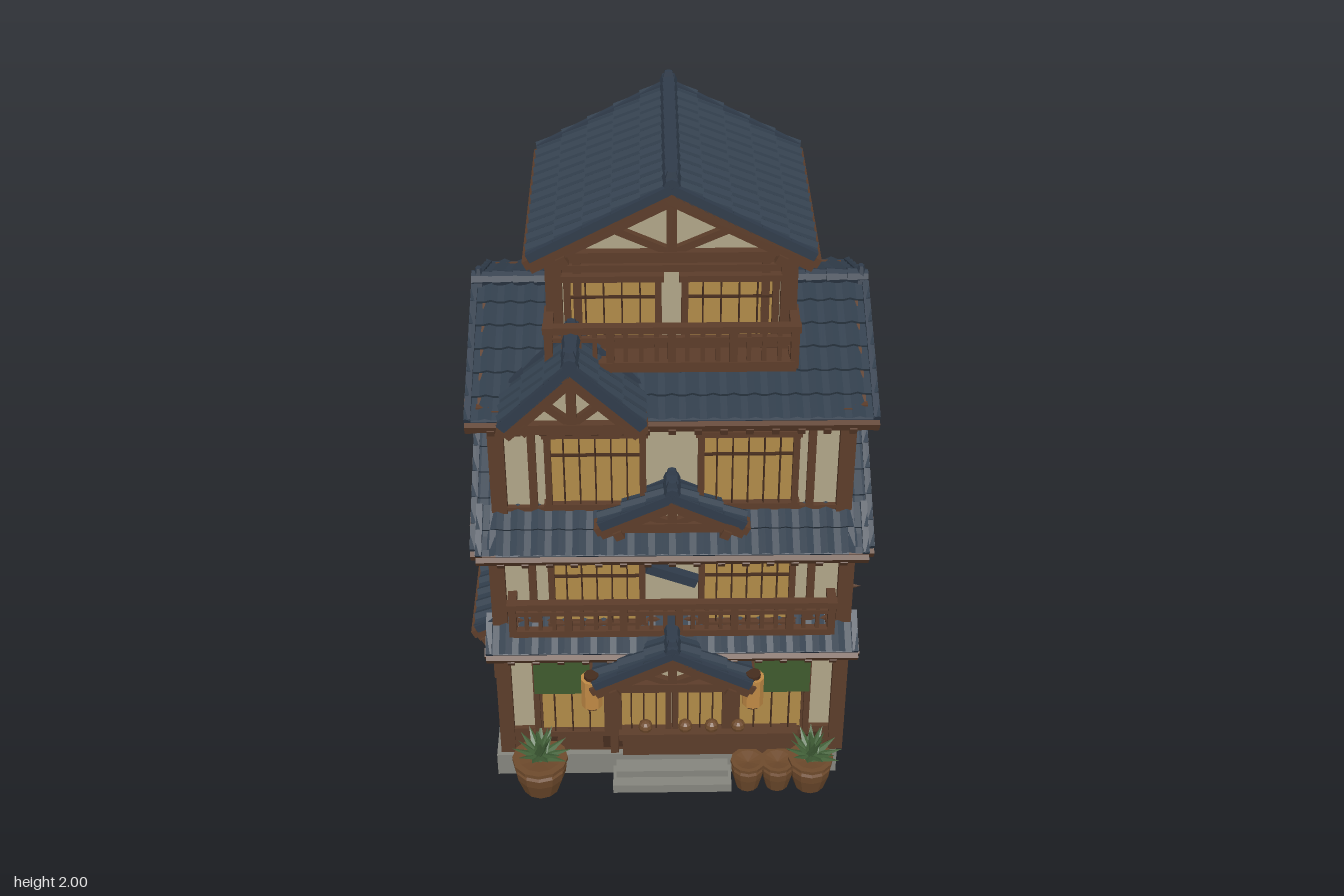
import * as THREE from 'three';

const mat = (color, side = THREE.FrontSide) => new THREE.MeshStandardMaterial({ color, side, flatShading: true });
const WOOD = mat(0x5c3d2a), DARK = mat(0x452c1e), CREAM = mat(0xb0a588), PAPER = mat(0xb08a48), STONE = mat(0x85857e),
  TILE = mat(0x323f4d, THREE.DoubleSide), CAP = mat(0x303c4b), GREEN = mat(0x3f5a2e), BLUE = mat(0x243a60),
  CLAY = mat(0x6e4a2c), LEAF = mat(0x44633a, THREE.DoubleSide), LAMP = mat(0xc08a45);

function add(parent, name, geo, m, x = 0, y = 0, z = 0) {
  const o = new THREE.Mesh(geo, m);
  o.name = name;
  o.position.set(x, y, z);
  parent.add(o);
  return o;
}
const box = (p, name, m, w, h, d, x, y, z) => add(p, name, new THREE.BoxGeometry(w, h, d), m, x, y, z);
function group(parent, name, x = 0, y = 0, z = 0, ry = 0) {
  const g = new THREE.Group();
  g.name = name;
  g.position.set(x, y, z);
  g.rotation.y = ry;
  parent.add(g);
  return g;
}
// beam between two points of the local xy plane
function beam(p, name, m, x0, y0, x1, y1, t, d, z) {
  const o = box(p, name, m, Math.hypot(x1 - x0, y1 - y0), t, d, (x0 + x1) / 2, (y0 + y1) / 2, z);
  o.rotation.z = Math.atan2(y1 - y0, x1 - x0);
}

// stepped, rolled tiles: runs down +x, spreads along z
function tileSheet(width, len) {
  const cols = Math.max(1, Math.round(width / 0.056)), rows = Math.max(1, Math.round(len / 0.085));
  const nx = cols * 6, g = new THREE.PlaneGeometry(width, len, nx, rows * 2 - 1), p = g.attributes.position;
  for (let i = 0; i < p.count; i++) {
    const j = Math.floor(i / (nx + 1)), k = i % (nx + 1), low = j % 2;
    const roll = Math.max(0, Math.cos((k / 6) * Math.PI * 2)) * 0.008;
    p.setY(i, len / 2 - (len * (Math.floor(j / 2) + low)) / rows);
    p.setZ(i, roll + (low ? 0.011 : 0.002));
  }
  g.rotateX(-Math.PI / 2).rotateY(Math.PI / 2).translate(len / 2, 0, 0);
  g.computeVertexNormals();
  return g;
}

// one roof plane falling along +x from its top edge
function slope(parent, name, run, drop, length, x, y, z, ry) {
  const g = group(group(parent, name, x, y, z, ry), 'roofPlane'), L = Math.hypot(run, drop);
  g.rotation.z = -Math.atan2(drop, run);
  add(g, 'tiles', tileSheet(length, L - 0.008), TILE);
  box(g, 'roofBoard', CAP, L - 0.01, 0.014, length, L / 2 - 0.005, -0.007, 0);
  box(g, 'eaveBoard', WOOD, 0.016, 0.026, length, L, -0.013, 0);
  box(g, 'purlin', WOOD, 0.026, 0.026, length + 0.015, L * 0.8, -0.046, 0);
  for (const s of [-1, 1]) {
    box(g, 'bargeBoard', WOOD, L, 0.03, 0.014, L / 2, -0.026, s * (length / 2 - 0.007));
    box(g, 'vergeTile', CAP, L - 0.01, 0.024, 0.018, L / 2 - 0.005, 0.002, s * (length / 2 - 0.008));
  }
  const n = Math.round(length / 0.07), rl = Math.min(L, 0.13);
  for (let i = 1; i < n; i++) box(g, 'rafter', WOOD, rl, 0.022, 0.02, L - rl / 2 + 0.012, -0.026, (i / n - 0.5) * length);
}
// gable roof with its ridge along local z
function gable(parent, name, run, drop, length, x, y, z, ry = 0) {
  const g = group(parent, name, x, y, z, ry);
  slope(g, 'roofSideA', run, drop, length, 0, 0, 0, 0);
  slope(g, 'roofSideB', run, drop, length, 0, 0, 0, Math.PI);
  const n = Math.max(1, Math.round(length / 0.06));
  for (let i = 0; i < n; i++)
    add(g, 'ridgeTile', new THREE.CylinderGeometry(0.02, 0.025, length / n, 8).rotateX(Math.PI / 2), CAP, 0, 0.01, ((i + 0.5) / n - 0.5) * length);
  for (const s of [-1, 1]) {
    const k = add(g, 'ridgeEnd', new THREE.CylinderGeometry(0.012, 0.028, 0.05, 6), CAP, 0, 0.02, s * (length / 2 - 0.02));
    k.scale.z = 0.7;
  }
}
// plaster triangle with open truss, facing local +z
function gableEnd(parent, half, rise, x, y, z, ry = 0, m = CREAM) {
  const g = group(parent, 'gableEnd', x, y, z, ry);
  const s = new THREE.Shape([new THREE.Vector2(-half, 0), new THREE.Vector2(half, 0), new THREE.Vector2(0, rise)]);
  add(g, 'gablePanel', new THREE.ExtrudeGeometry(s, { depth: 0.02, bevelEnabled: false }), m, 0, 0, -0.02);
  box(g, 'tieBeam', WOOD, half * 2 + 0.03, 0.03, 0.034, 0, 0, 0.008);
  box(g, 'kingPost', WOOD, 0.026, rise, 0.028, 0, rise / 2, 0.008);
  for (const k of [-1, 1]) {
    beam(g, 'topChord', WOOD, k * half, 0, 0, rise, 0.026, 0.028, 0.008);
    beam(g, 'strut', WOOD, 0, 0.01, k * half * 0.5, rise * 0.5, 0.02, 0.024, 0.008);
  }
}

// latticed window on a wall face
function win(p, x, y0, y1, w, bars = 5) {
  const h = y1 - y0, y = (y0 + y1) / 2, g = group(p, 'window', x, y, 0);
  box(g, 'paperPane', PAPER, w, h, 0.012, 0, 0, 0.004);
  for (const s of [-1, 1]) {
    box(g, 'windowRail', WOOD, w + 0.03, 0.018, 0.036, 0, (s * h) / 2, 0.012);
    box(g, 'windowStile', WOOD, 0.018, h, 0.036, (s * w) / 2, 0, 0.012);
  }
  for (let i = 1; i < bars; i++) box(g, 'latticeBar', DARK, 0.004, h, 0.018, (i / bars - 0.5) * w, 0, 0.017);
  box(g, 'latticeCross', DARK, w, 0.004, 0.012, 0, h * 0.2, 0.015);
}
function railing(p, w, h, x, y, z, ry = 0) {
  const g = group(p, 'railing', x, y, z, ry), n = Math.round(w / 0.04);
  box(g, 'handRail', WOOD, w + 0.03, 0.02, 0.026, 0, h, 0);
  box(g, 'midRail', WOOD, w, 0.014, 0.016, 0, h * 0.74, 0);
  box(g, 'footRail', WOOD, w, 0.022, 0.024, 0, 0.01, 0);
  for (let i = 0; i <= n; i++) {
    const t = i % 4 === 0 || i === n ? 0.022 : 0.012;
    box(g, 'baluster', WOOD, t, h, t, (i / n - 0.5) * w, h / 2, 0);
  }
}
// storey: wall block, posts and beams; returns a group for each face
function storey(parent, name, hx, z0, z1, y0, y1, plinth) {
  const g = group(parent, name), zc = (z0 + z1) / 2, hz = (z1 - z0) / 2, h = y1 - y0, yc = (y0 + y1) / 2;
  box(g, 'plaster', CREAM, hx * 2, h, hz * 2, 0, yc, zc);
  const spec = { front: [0, z1, 0, hx], left: [hx, zc, Math.PI / 2, hz], back: [0, z0, Math.PI, hx], right: [-hx, zc, -Math.PI / 2, hz] };
  const faces = {};
  for (const [side, [x, z, ry, half]] of Object.entries(spec)) {
    const f = (faces[side] = group(g, side + 'Face', x, 0, z, ry));
    box(f, 'topBeam', WOOD, half * 2 + 0.08, 0.036, 0.044, 0, y1 - 0.02, 0);
    box(f, 'headBeam', WOOD, half * 2, 0.02, 0.034, 0, y1 - 0.075, 0);
    box(f, 'plinthBoards', WOOD, half * 2 + 0.01, plinth, 0.03, 0, y0 + plinth / 2, 0);
    for (let i = 0; i < 5; i++) box(f, 'plinthPatch', DARK, 0.06, plinth * 0.6, 0.036, (i - 2) * half * 0.4 + 0.02, y0 + plinth * 0.45, 0);
    for (const s of [-1, 1]) {
      box(f, 'cornerPost', WOOD, 0.044, h, 0.044, s * half, yc, 0);
      box(f, 'wallPost', WOOD, 0.022, h, 0.03, s * half * 0.8, yc, 0);
    }
  }
  return faces;
}
function plant(parent, x, z, r, h, leaves) {
  const g = group(parent, 'pottedPlant', x, 0, z);
  const pts = [[0, 0], [r * 0.7, 0], [r * 0.95, h * 0.5], [r, h * 0.75], [r * 0.9, h * 0.85], [r * 1.05, h * 0.9], [r * 1.05, h], [r * 0.8, h], [0, h * 0.9]];
  add(g, 'pot', new THREE.LatheGeometry(pts.map(([a, b]) => new THREE.Vector2(a, b)), 12), CLAY);
  for (let i = 0; i < leaves; i++) {
    const leaf = add(g, 'leaf', new THREE.ConeGeometry(0.024, 0.1, 4).scale(1, 1, 0.3).translate(0, 0.05, 0), LEAF, 0, h, 0);
    leaf.rotation.set(0.1 + (i % 5) * 0.3, i * 2.4, 0, 'YXZ');
  }
}

export function createModel() {
  const house = new THREE.Group();
  house.name = 'townhouse';
  const ZC = -0.025, Q = Math.PI / 2;

  // stone base and steps
  box(house, 'stoneBase', STONE, 1.04, 0.08, 0.815, -0.015, 0.04, -0.018);
  box(house, 'upperStep', STONE, 0.34, 0.055, 0.06, 0, 0.0275, 0.41);
  box(house, 'lowerStep', STONE, 0.36, 0.03, 0.09, 0, 0.015, 0.43);

  // ground floor
  const f1 = storey(house, 'groundFloor', 0.5, -0.41, 0.355, 0.08, 0.56, 0.09);
  for (const x of [-0.3, -0.085, 0.085, 0.3]) win(f1.front, x, 0.16, 0.47, Math.abs(x) > 0.2 ? 0.21 : 0.15, 4);
  for (const s of [-1, 1]) {
    win(f1.back, s * 0.22, 0.18, 0.45, 0.3, 6);
    for (const side of ['left', 'right']) win(f1[side], s * 0.15, 0.18, 0.42, 0.27, 6);
    box(house, 'greenCurtain', GREEN, 0.22, 0.14, 0.012, s * 0.3, 0.4, 0.385);
    box(house, 'doorPost', WOOD, 0.024, 0.4, 0.03, s * 0.175, 0.28, 0.37);
    add(house, 'lantern', new THREE.CylinderGeometry(0.032, 0.032, 0.1, 10), LAMP, s * 0.235, 0.42, 0.475);
    for (const k of [-1, 1]) add(house, 'lanternCap', new THREE.CylinderGeometry(0.022, 0.022, 0.014, 10), DARK, s * 0.235, 0.42 + k * 0.055, 0.475);
  }
  box(house, 'blueCurtain', BLUE, 0.35, 0.1, 0.012, 0, 0.4, 0.395);
  box(house, 'bench', WOOD, 0.54, 0.025, 0.05, 0.11, 0.165, 0.385);
  box(house, 'benchFront', WOOD, 0.52, 0.08, 0.03, 0.11, 0.12, 0.38);
  for (const x of [-0.08, 0.04, 0.12, 0.2]) add(house, 'bowl', new THREE.SphereGeometry(0.022, 10, 6), CLAY, x, 0.195, 0.39);

  // first roof tier and porch
  slope(house, 'frontSkirtRoof', 0.11, 0.075, 1.08, 0, 0.595, 0.335, -Q);
  slope(house, 'backSkirtRoof', 0.12, 0.075, 1.08, 0, 0.595, -0.39, Q);
  slope(house, 'rightSkirtRoof', 0.095, 0.045, 0.78, -0.485, 0.6, ZC, Math.PI);
  gable(house, 'porchRoof', 0.235, 0.12, 0.18, 0, 0.58, 0.425);
  gableEnd(house, 0.2, 0.105, 0, 0.455, 0.485);
  for (const s of [-1, 1]) box(house, 'porchBracket', WOOD, 0.022, 0.025, 0.15, s * 0.2, 0.46, 0.42);

  // second floor with balconies
  const f2 = storey(house, 'secondFloor', 0.5, -0.4, 0.345, 0.55, 0.93, 0.04);
  for (const s of [-1, 1]) {
    for (const side of ['front', 'back']) win(f2[side], s * 0.215, 0.58, 0.83, 0.26, 6);
    for (const side of ['left', 'right']) win(f2[side], s * 0.15, 0.59, 0.83, 0.27, 6);
  }
  // side walls of both lower floors: boarded ends, lintels and a projecting grille
  for (const side of ['left', 'right']) {
    const g = group(f2[side], 'windowGrille', 0, 0.63, 0.035);
    for (let i = 0; i <= 6; i++) box(g, 'grilleBar', WOOD, 0.01, 0.24, 0.012, (i / 6 - 0.5) * 0.26, 0.12, 0);
    for (const y of [0, 0.12, 0.24]) box(g, 'grilleRail', WOOD, 0.3, 0.012, 0.014, 0, y, 0);
    box(f1[side], 'sideLintel', WOOD, 0.78, 0.12, 0.036, 0, 0.5, 0);
    box(f2[side], 'sideLintel', WOOD, 0.78, 0.09, 0.036, 0, 0.885, 0);
    for (const s of [-1, 1])
      for (const [f, y] of [[f1, 0.3], [f2, 0.7]]) box(f[side], 'boardedEnd', WOOD, 0.08, 0.3, 0.014, s * 0.34, y, 0);
  }
  for (const [side, z] of [['front', 0.03], ['back', 0.03]]) beam(f2[side], 'leaningBoard', CAP, -0.07, 0.8, 0.07, 0.745, 0.03, 0.03, z);
  railing(house, 0.92, 0.11, 0, 0.57, 0.4);
  railing(house, 0.92, 0.12, 0, 0.57, -0.5);
  for (const s of [-1, 1]) {
    railing(house, 0.06, 0.11, s * 0.46, 0.57, 0.37, Q);
    railing(house, 0.1, 0.12, s * 0.46, 0.57, -0.45, Q);
  }
  box(house, 'backBalconyDeck', WOOD, 0.96, 0.018, 0.11, 0, 0.57, -0.455);

  // second roof tier: skirts, side gables and a small front gable
  slope(house, 'frontMiddleRoof', 0.135, 0.09, 1.09, 0, 0.995, 0.34, -Q);
  slope(house, 'backMiddleRoof', 0.125, 0.09, 1.09, 0, 0.995, -0.395, Q);
  for (const s of [-1, 1]) {
    gable(house, 'sideGableRoof', 0.48, 0.29, 0.07, s * 0.525, 1.205, ZC + 0.005, Q);
    gable(house, 'lowerSideGableRoof', 0.43, 0.18, 0.05, s * 0.525, 1.085, ZC, Q);
    gableEnd(house, 0.39, 0.17, s * 0.515, 0.9, ZC, s * Q, WOOD);
  }
  gable(house, 'smallFrontRoof', 0.21, 0.1, 0.1, 0, 1.08, 0.385);
  gableEnd(house, 0.17, 0.085, 0, 0.98, 0.41);

  // third floor
  const f3 = storey(house, 'thirdFloor', 0.48, -0.4, 0.345, 0.94, 1.34, 0.06);
  for (const s of [-1, 1]) {
    for (const side of ['front', 'back']) win(f3[side], s * 0.21, 1.01, 1.25, 0.26, 6);
    for (const side of ['left', 'right']) win(f3[side], s * 0.145, 1.0, 1.25, 0.24, 5);
    gableEnd(house, 0.385, 0.165, s * 0.5, 1.33, ZC, s * Q);
  }

  // main roof and its off-centre dormer
  gable(house, 'mainRoof', 0.44, 0.19, 1.11, 0, 1.505, ZC, Q);
  gable(house, 'dormerRoof', 0.195, 0.19, 0.2, -0.265, 1.53, 0.385);
  gableEnd(house, 0.165, 0.16, -0.265, 1.345, 0.46);
  for (const s of [-1, 1]) box(house, 'dormerBracket', WOOD, 0.02, 0.025, 0.16, -0.265 + s * 0.16, 1.34, 0.39);

  // top floor with balcony
  const f4 = storey(house, 'topFloor', 0.31, -0.3, 0.25, 1.4, 1.78, 0.08);
  for (const s of [-1, 1]) {
    for (const side of ['front', 'back']) win(f4[side], s * 0.155, 1.48, 1.68, 0.24, 5);
  }
  for (const side of ['left', 'right']) {
    win(f4[side], 0, 1.53, 1.74, 0.26, 5);
    box(f4[side], 'sillBoards', WOOD, 0.56, 0.11, 0.03, 0, 1.475, 0);
  }
  box(house, 'balconyDeck', WOOD, 0.66, 0.02, 0.11, 0, 1.45, 0.3);
  railing(house, 0.65, 0.12, 0, 1.45, 0.345);
  for (const s of [-1, 1]) railing(house, 0.09, 0.12, s * 0.325, 1.45, 0.3, Q);
  gable(house, 'topRoof', 0.38, 0.2, 0.67, 0, 1.955, -0.02);
  gableEnd(house, 0.34, 0.175, 0, 1.755, 0.275);
  gableEnd(house, 0.34, 0.175, 0, 1.755, -0.32, Math.PI);

  // flat wall pegs on the left and a shutter on the right
  for (const y of [0.46, 0.56, 0.67])
    add(house, 'wallPeg', new THREE.ConeGeometry(0.03, 0.08, 4).rotateZ(-Q).scale(1, 1, 0.4), WOOD, 0.55, y, 0.055);
  box(house, 'shutter', WOOD, 0.03, 0.22, 0.26, -0.54, 0.27, 0);

  // potted plants
  plant(house, -0.4, 0.44, 0.08, 0.12, 26);
  plant(house, 0.42, 0.44, 0.065, 0.11, 26);
  plant(house, 0.32, 0.44, 0.05, 0.1, 0);
  plant(house, 0.23, 0.44, 0.05, 0.1, 0);
  return house;
}
